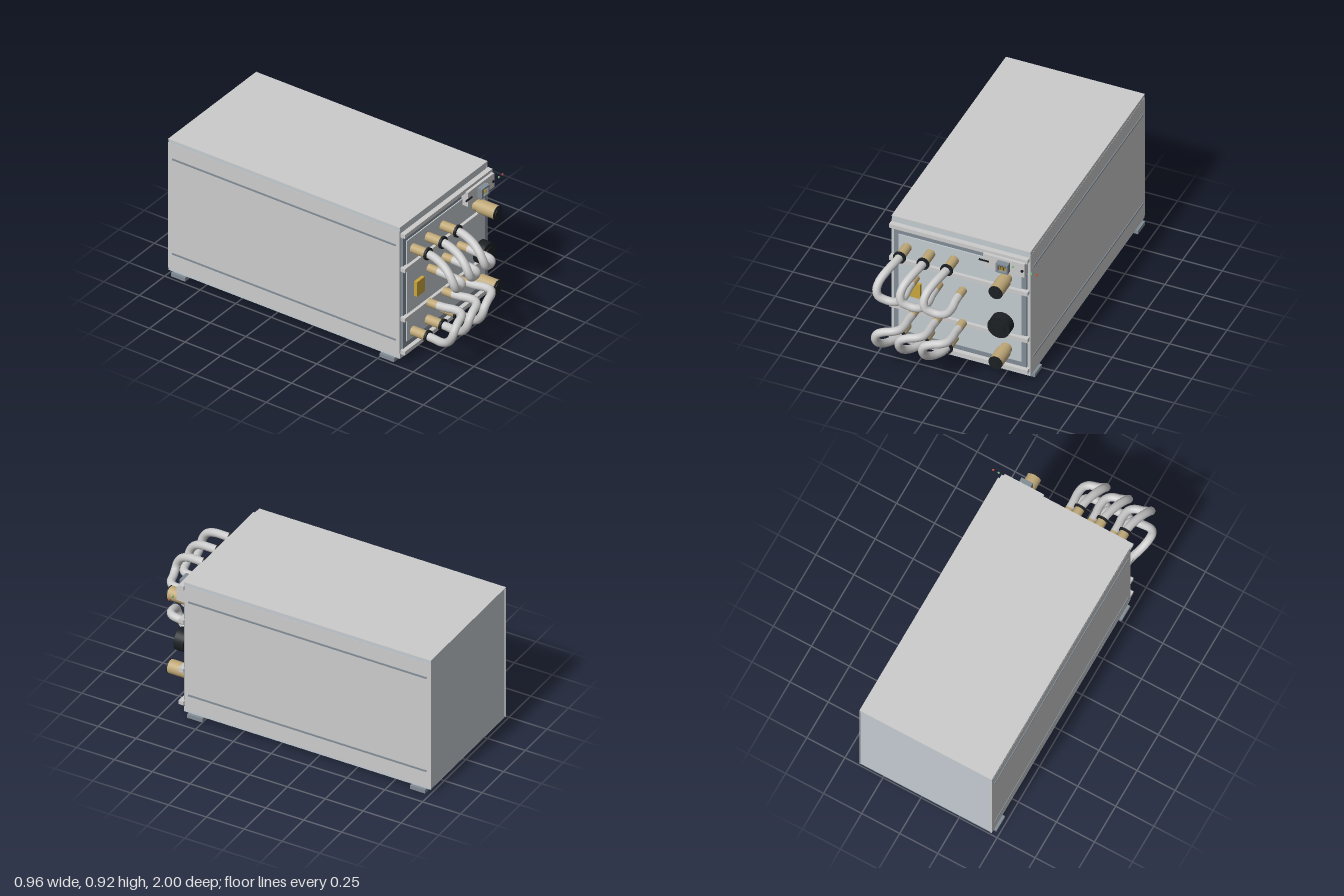
import * as THREE from 'three';

const mat = (color) => new THREE.MeshStandardMaterial({ color, side: THREE.DoubleSide });
const GREY = mat(0xcccccc), STEEL = mat(0xc3cbd0), SLATE = mat(0x828d96), BLACK = mat(0x1c2024);
const BRASS = mat(0xbfa878), GOLD = mat(0xc8a63c), HOSE = mat(0xe4e5e2);
const GREEN = mat(0x7cc47c), RED = mat(0xc8553d);

export function createModel() {
  const root = new THREE.Group();

  const add = (name, geo, material, parent = root) => {
    const m = new THREE.Mesh(geo, material);
    m.name = name;
    parent.add(m);
    return m;
  };
  // box given by its min and max on each axis
  const box = (name, material, x0, x1, y0, y1, z0, z1, parent) => {
    const m = add(name, new THREE.BoxGeometry(x1 - x0, y1 - y0, z1 - z0), material, parent);
    m.position.set((x0 + x1) / 2, (y0 + y1) / 2, (z0 + z1) / 2);
    return m;
  };
  // cylinder along z
  const rod = (name, material, x, y, z0, z1, r, parent) => {
    const geo = new THREE.CylinderGeometry(r, r, z1 - z0, 28).rotateX(Math.PI / 2);
    const m = add(name, geo, material, parent);
    m.position.set(x, y, (z0 + z1) / 2);
    return m;
  };
  const rectPath = (Type, x0, x1, y0, y1) => new Type([
    new THREE.Vector2(x0, y0), new THREE.Vector2(x1, y0),
    new THREE.Vector2(x1, y1), new THREE.Vector2(x0, y1)]);

  // cabinet: steel core with grey lid and side sheets
  box('cabinetBody', STEEL, -0.457, 0.397, 0.027, 0.915, -0.996, 0.625);
  box('lid', GREY, -0.465, 0.405, 0.914, 0.92, -1, 0.63);
  box('lidFrontLip', STEEL, -0.462, 0.402, 0.895, 0.914, 0.62, 0.63);
  box('lowerFrontLip', STEEL, -0.462, 0.402, 0.025, 0.062, 0.62, 0.63);
  box('basePlate', SLATE, -0.46, 0.4, 0.025, 0.03, -0.998, 0.628);
  for (const [side, s] of [['right', -1], ['left', 1]]) {
    const x = -0.03 + s * 0.431;
    box(side + 'SidePanel', GREY, x - 0.004, x + 0.004, 0.04, 0.895, -1, 0.628);
    box(side + 'TopEdge', STEEL, x - 0.003, x + 0.003, 0.895, 0.914, -1, 0.628);
    box(side + 'BottomEdge', STEEL, x - 0.003, x + 0.003, 0.026, 0.04, -1, 0.628);
    for (const y of [0.148, 0.792])
      box(side + 'SideStrip', SLATE, x - 0.009, x + 0.009, y - 0.005, y + 0.005, -0.97, 0.6);
    rod('lipScrew', SLATE, -0.03 + s * 0.392, 0.06, 0.625, 0.635, 0.007);
  }

  // feet run across the whole width
  for (const z of [-0.92, 0.55])
    box('foot', SLATE, -0.48, 0.42, 0, 0.025, z - 0.05, z + 0.05);

  // front panel inside a dark border
  const border = rectPath(THREE.Shape, -0.445, 0.385, 0.088, 0.855);
  border.holes.push(rectPath(THREE.Path, -0.415, 0.355, 0.125, 0.81));
  const frame = add('panelBorder', new THREE.ExtrudeGeometry(border, { depth: 0.016, bevelEnabled: false }), SLATE);
  frame.position.z = 0.624;
  box('frontPanel', STEEL, -0.415, 0.355, 0.125, 0.81, 0.62, 0.647);

  // horizontal rails
  for (const y of [0.075, 0.3, 0.637, 0.87])
    box('frontRail', GREY, -0.465, 0.402, y - 0.013, y + 0.013, 0.635, 0.667);

  // hoses: upper path, flipped for the lower row
  const path = [[0, 0.735, 0.75], [-0.006, 0.732, 0.8], [-0.026, 0.715, 0.88], [-0.045, 0.68, 0.94],
    [-0.05, 0.635, 0.97], [-0.036, 0.6, 0.975], [0, 0.58, 0.967], [0.05, 0.57, 0.955],
    [0.077, 0.568, 0.93], [0.086, 0.57, 0.88], [0.081, 0.576, 0.82], [0.08, 0.58, 0.765]];
  const rows = [
    ['upper', (y) => y, 0],
    ['lower', (y) => 0.172 + (0.735 - y) * 1.116, -0.008]];
  for (const [row, toY, shift] of rows) {
    for (let i = 0; i < 3; i++) {
      const x = -0.36 + i * 0.1475;
      const g = new THREE.Group();
      g.name = row + 'HoseLoop';
      root.add(g);
      const points = path.map(([dx, y, z]) =>
        new THREE.Vector3(x + dx + (z > 0.86 && dx < 0 ? shift : 0), toY(y), z));
      const curve = new THREE.CatmullRomCurve3(points);
      add('hose', new THREE.TubeGeometry(curve, 44, 0.025, 16), HOSE, g);
      rod('hoseFitting', BRASS, x, toY(0.735), 0.64, 0.75, 0.029, g);
      rod('hoseCollar', BLACK, x, toY(0.735), 0.748, 0.762, 0.038, g);
      rod('hoseEndFitting', BRASS, x + 0.08, toY(0.58), 0.705, 0.772, 0.025, g);
    }
  }

  // capped ports on the left
  for (const y of [0.199, 0.706]) {
    const g = new THREE.Group();
    g.name = 'cappedPort';
    root.add(g);
    rod('portStem', BRASS, 0.262, y, 0.64, 0.69, 0.036, g);
    rod('portBody', BRASS, 0.262, y, 0.685, 0.8, 0.043, g);
    rod('portCapRim', BLACK, 0.262, y, 0.799, 0.806, 0.043, g);
    rod('portCap', BLACK, 0.262, y, 0.805, 0.811, 0.031, g);
  }

  // round dial
  rod('dialShaft', BLACK, 0.255, 0.407, 0.64, 0.69, 0.03);
  rod('dial', BLACK, 0.255, 0.407, 0.682, 0.745, 0.07);
  rod('dialFace', BLACK, 0.255, 0.407, 0.74, 0.752, 0.043);

  // plain label plate
  box('labelPlate', GOLD, -0.345, -0.27, 0.4, 0.5, 0.645, 0.668);

  // control module with network socket and lamps
  const control = new THREE.Group();
  control.name = 'controlModule';
  root.add(control);
  box('controlHousing', GREY, 0.133, 0.393, 0.77, 0.865, 0.635, 0.685, control);
  box('cardSlot', BLACK, 0.108, 0.17, 0.817, 0.825, 0.684, 0.692, control);
  const socket = rectPath(THREE.Shape, 0.226, 0.3, 0.786, 0.85);
  socket.holes.push(rectPath(THREE.Path, 0.238, 0.288, 0.796, 0.838));
  add('socketFrame', new THREE.ExtrudeGeometry(socket, { depth: 0.035, bevelEnabled: false }), SLATE, control)
    .position.z = 0.684;
  box('socketCavity', BLACK, 0.237, 0.289, 0.795, 0.839, 0.68, 0.7, control);
  for (let i = 0; i < 6; i++) {
    const x = 0.244 + i * 0.0076;
    box('socketPin', GOLD, x - 0.0015, x + 0.0015, 0.796, 0.82, 0.698, 0.707, control);
  }
  rod('statusLamp', GREEN, 0.32, 0.83, 0.684, 0.692, 0.006, control);
  rod('resetButton', BLACK, 0.378, 0.816, 0.684, 0.692, 0.008, control);
  rod('greenLamp', GREEN, 0.435, 0.816, 0.686, 0.692, 0.007, control);
  rod('redLamp', RED, 0.471, 0.816, 0.686, 0.692, 0.007, control);

  return root;
}
